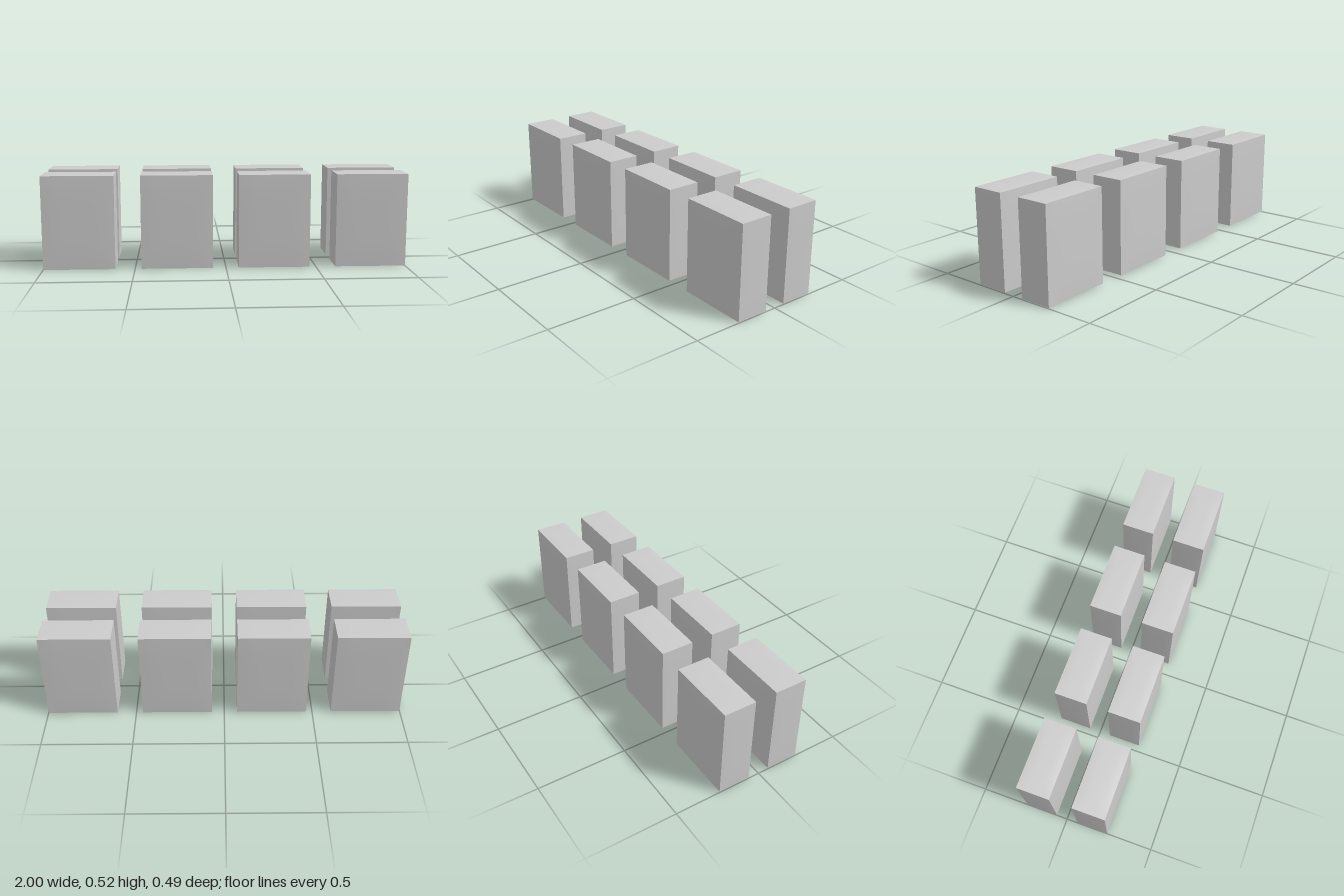
import * as THREE from 'three';

const WIDTH = 0.392, HEIGHT = 0.514, DEPTH = 0.18;
const BULGE = { x: 0.002, y: 0.003, z: 0.003 };

// Box whose six faces swell very slightly towards their middles
function createBlockGeometry() {
  const geometry = new THREE.BoxGeometry(WIDTH, HEIGHT, DEPTH, 10, 12, 8);
  const pos = geometry.attributes.position;
  const normal = geometry.attributes.normal;
  for (let i = 0; i < pos.count; i++) {
    const u = pos.getX(i) / (WIDTH / 2);
    const v = pos.getY(i) / (HEIGHT / 2);
    const w = pos.getZ(i) / (DEPTH / 2);
    const fx = 1 - u ** 4, fy = 1 - v ** 4, fz = 1 - w ** 4;
    pos.setXYZ(
      i,
      pos.getX(i) + normal.getX(i) * BULGE.x * fy * fz,
      pos.getY(i) + normal.getY(i) * BULGE.y * fx * fz,
      pos.getZ(i) + normal.getZ(i) * BULGE.z * fx * fy
    );
  }
  geometry.computeVertexNormals();
  return geometry;
}

export function createModel() {
  const model = new THREE.Group();
  model.name = 'blocks';
  const material = new THREE.MeshStandardMaterial({ color: 0xcccccc });
  const geometry = createBlockGeometry();

  // Two rows of four upright blocks
  for (const [rowName, z] of [['front', 0.15], ['back', -0.152]]) {
    const row = new THREE.Group();
    row.name = `${rowName}Row`;
    [-0.802, -0.268, 0.266, 0.802].forEach((x, i) => {
      const block = new THREE.Mesh(geometry, material);
      block.name = `${rowName}Block${i + 1}`;
      block.position.set(x, HEIGHT / 2 + BULGE.y, z);
      row.add(block);
    });
    model.add(row);
  }
  return model;
}
